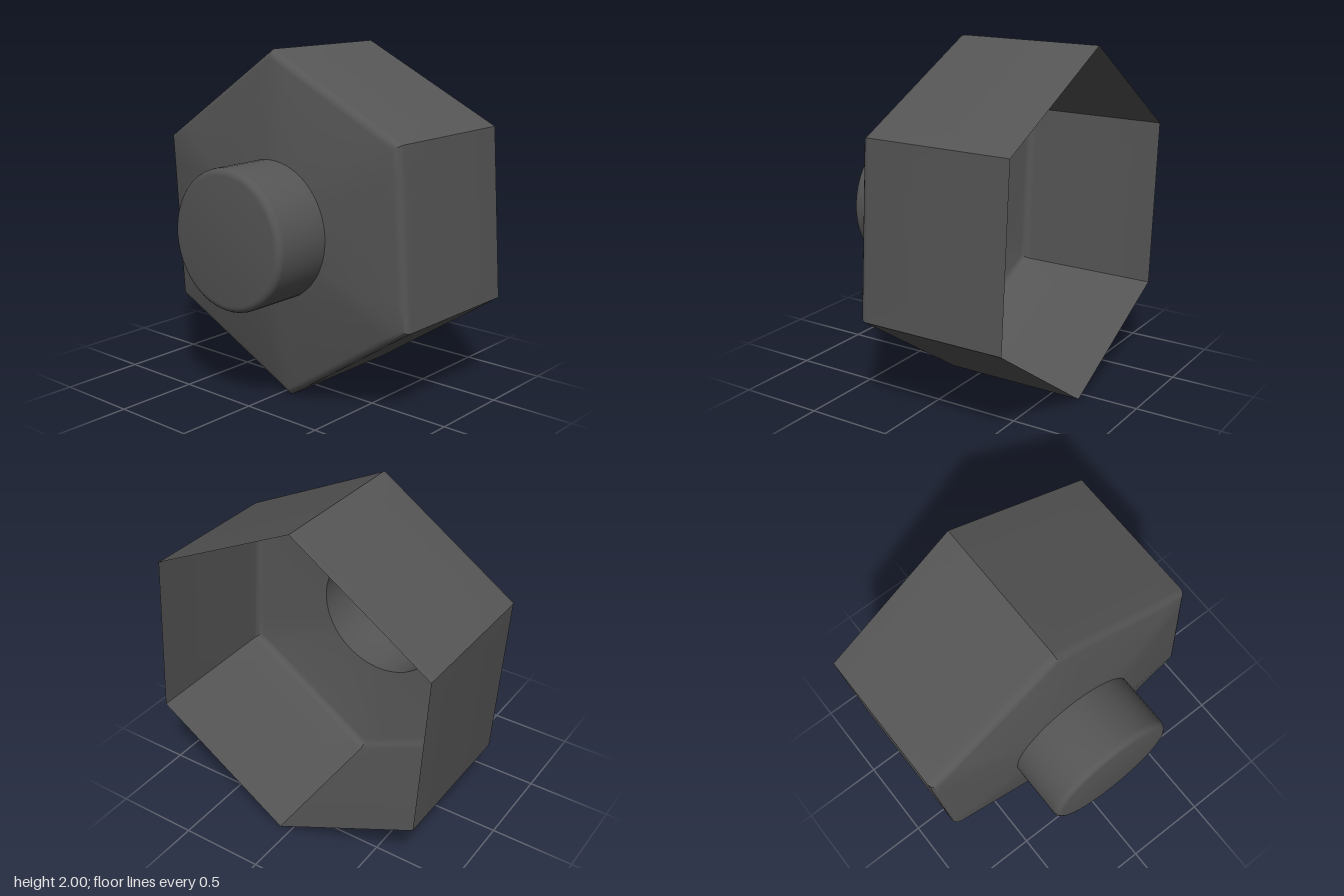
import * as THREE from 'three';
import { toCreasedNormals } from 'three/addons/utils/BufferGeometryUtils.js';

const SEGMENTS = 48;
const APOTHEM = 0.868;
const TILT = THREE.MathUtils.degToRad(-4);
const SIXTH = Math.PI / 3;

// Rings run around the x axis, starting on a hexagon corner
function ring(x, radiusAt) {
  return Array.from({ length: SEGMENTS }, (_, i) => {
    const a = (i / SEGMENTS) * Math.PI * 2;
    const r = radiusAt(a);
    return [x, 1 + r * Math.cos(a + TILT), r * Math.sin(a + TILT)];
  });
}

const circle = (x, r) => ring(x, () => r);
const hexagon = (x, apothem) => ring(x, (a) => apothem / Math.cos((a % SIXTH) - SIXTH / 2));

// Skin between successive rings, optionally closed by a flat cap
function loft(rings, capX) {
  const positions = [];
  for (let i = 0; i < SEGMENTS; i++) {
    const n = (i + 1) % SEGMENTS;
    for (let j = 0; j < rings.length - 1; j++) {
      const [p, q] = [rings[j], rings[j + 1]];
      positions.push(...p[i], ...q[i], ...q[n], ...p[i], ...q[n], ...p[n]);
    }
    if (capX !== undefined) {
      const last = rings[rings.length - 1];
      positions.push(...last[i], capX, 1, 0, ...last[n]);
    }
  }
  const geometry = new THREE.BufferGeometry();
  geometry.setAttribute('position', new THREE.Float32BufferAttribute(positions, 3));
  return toCreasedNormals(geometry, THREE.MathUtils.degToRad(35));
}

// Rounded edge: rings turning inwards from the wall to the end face
function fillet(x, size, radius, sweep, makeRing) {
  const rings = [];
  for (let k = 0; k <= 5; k++) {
    const t = THREE.MathUtils.degToRad((sweep * k) / 5);
    rings.push(makeRing(x - radius * Math.sin(t), size - radius * (1 - Math.cos(t))));
  }
  return rings;
}

export function createModel() {
  const group = new THREE.Group();
  group.name = 'hexagonalSocket';
  const material = new THREE.MeshStandardMaterial({ color: 0x555555, side: THREE.DoubleSide });

  const add = (name, geometry) => {
    const mesh = new THREE.Mesh(geometry, material);
    mesh.name = name;
    group.add(mesh);
  };

  // Open hexagonal cup, tapering to the round neck
  add('hexagonalCup', loft([
    hexagon(0.67, APOTHEM),
    ...fillet(-0.19, APOTHEM, 0.05, 82, hexagon),
    circle(-0.305, 0.4),
  ]));

  // Hollow round stub with a closed, rounded end
  add('roundStub', loft([
    circle(-0.305, 0.4),
    ...fillet(-0.63, 0.4, 0.04, 90, circle),
  ], -0.67));

  return group;
}
